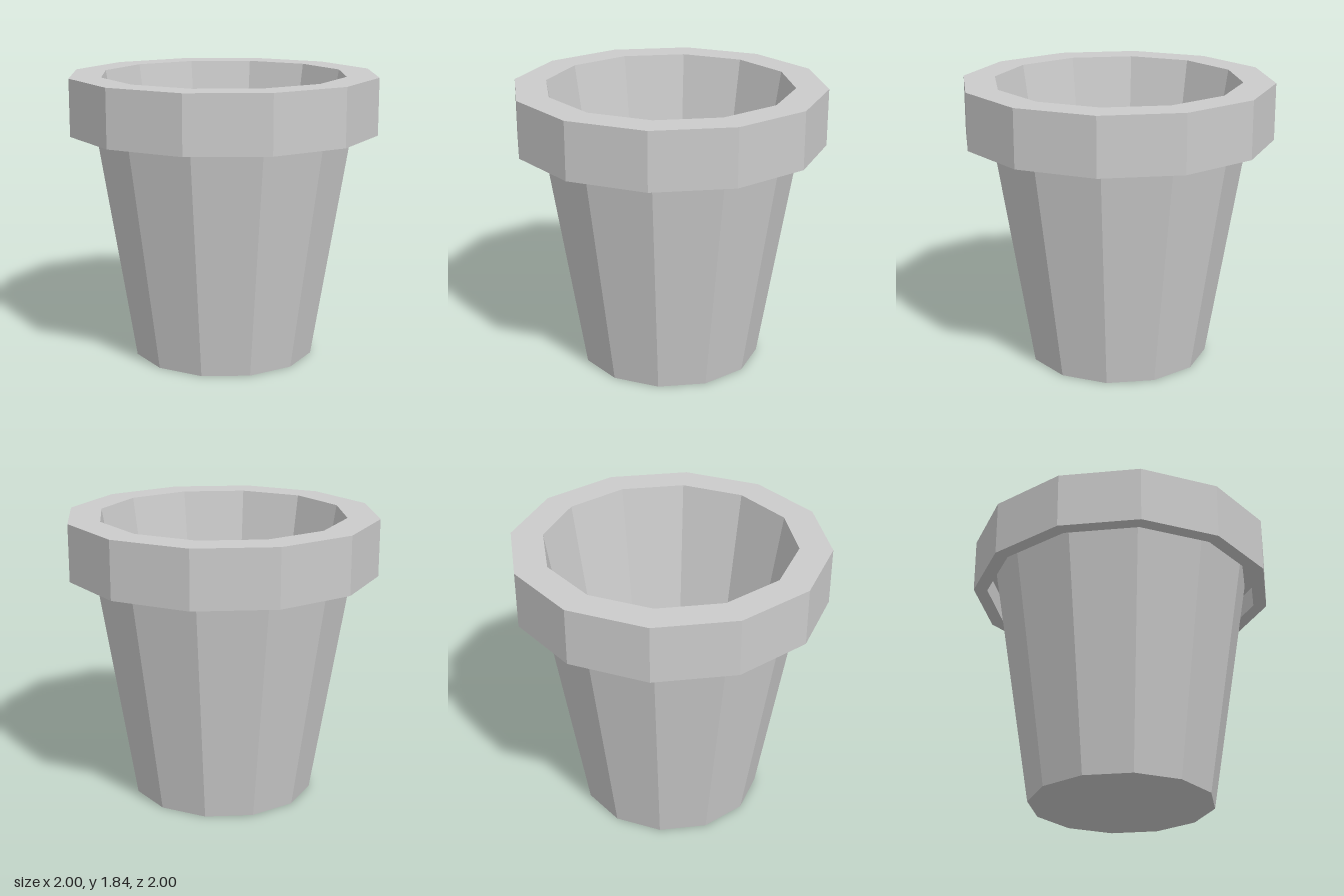
import * as THREE from 'three';

const SIDES = 12;

export function createModel() {
  const pot = new THREE.Group();
  pot.name = 'flowerPot';
  const material = new THREE.MeshStandardMaterial({ color: 0xcccccc, flatShading: true });

  // Faceted ring of walls from a [radius, height] profile
  function addLathe(name, profile) {
    const points = profile.map(([r, y]) => new THREE.Vector2(r, y));
    const mesh = new THREE.Mesh(new THREE.LatheGeometry(points, SIDES), material);
    mesh.name = name;
    pot.add(mesh);
  }

  // Base and tapered outer wall, running up under the rim
  addLathe('outerWall', [[0, 0], [0.593, 0], [0.855, 1.62]]);

  // Overhanging collar with a recess on its underside
  addLathe('rim', [[0.855, 1.62], [0.91, 1.62], [0.91, 1.475], [1, 1.475], [1, 1.84], [0.795, 1.84]]);

  // Tapered inside wall and floor
  addLathe('innerWall', [[0.795, 1.84], [0.527, 0.2], [0, 0.2]]);

  return pot;
}
